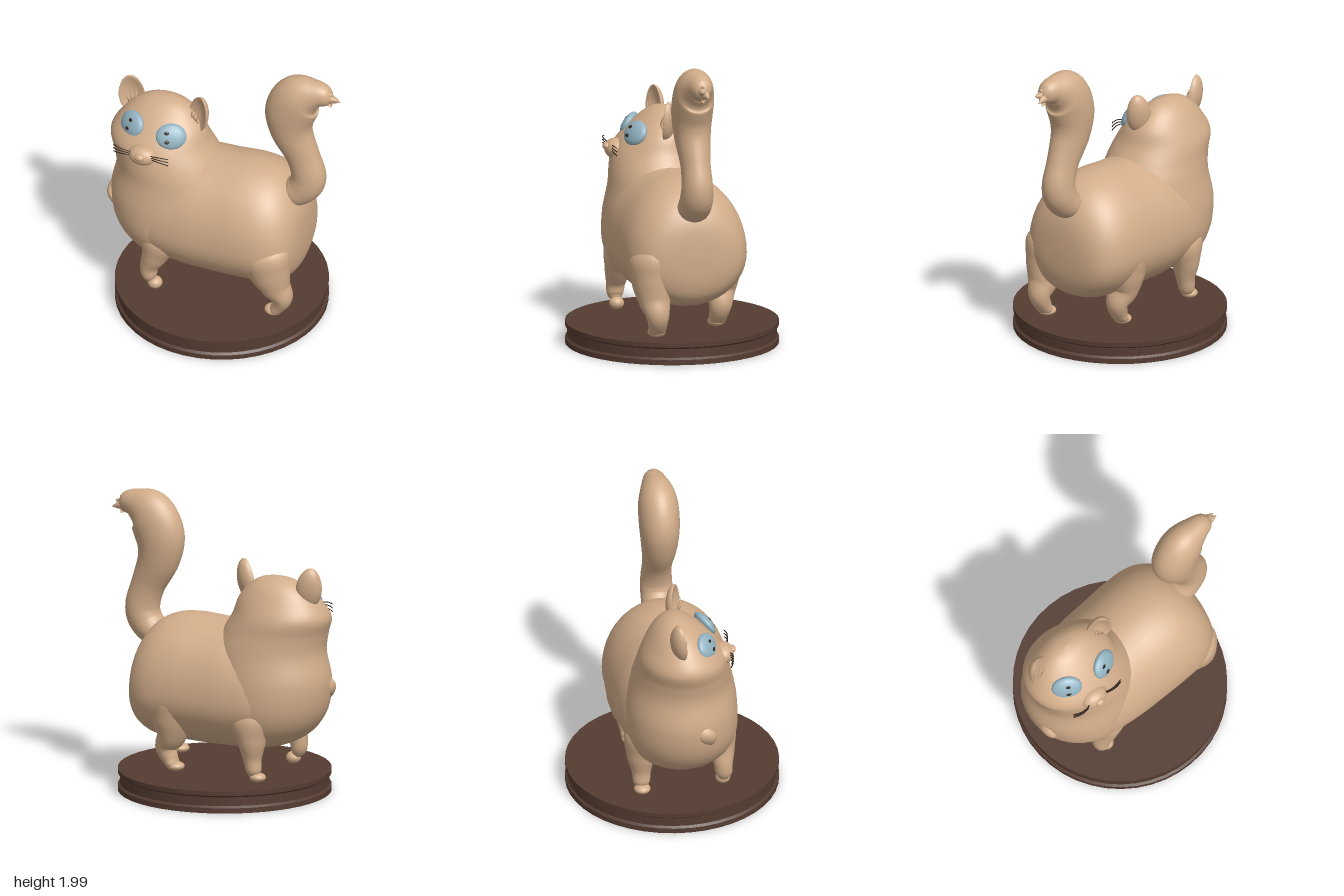
import * as THREE from 'three';
import { mergeVertices, toCreasedNormals } from 'three/addons/utils/BufferGeometryUtils.js';

const material = (name, color) => {
  const m = new THREE.MeshStandardMaterial({ color });
  m.name = name;
  return m;
};

// Smoothly interpolates rows of numbers at t in 0..1
function sampleRows(rows, t) {
  const f = t * (rows.length - 1), i = Math.min(Math.floor(f), rows.length - 2), u = f - i;
  const at = (k) => rows[Math.max(0, Math.min(rows.length - 1, k))];
  const [a, b, c, d] = [at(i - 1), at(i), at(i + 1), at(i + 2)];
  return b.map((p, k) => p + 0.5 * u * (c[k] - a[k]
    + u * (2 * a[k] - 5 * p + 4 * c[k] - d[k] + u * (3 * (p - c[k]) + d[k] - a[k]))));
}

// Closed skin through cross-sections; place(row, cos, sin, tangent) gives a point
function loft(rows, place, steps = 60, sides = 48) {
  const pos = [], index = [];
  for (let i = 0; i <= steps; i++) {
    const t = i / steps, row = sampleRows(rows, t);
    const a = sampleRows(rows, Math.max(0, t - 0.01)), b = sampleRows(rows, Math.min(1, t + 0.01));
    const tangent = new THREE.Vector2(b[0] - a[0], b[1] - a[1]).normalize();
    for (let j = 0; j < sides; j++) {
      const w = (j / sides) * Math.PI * 2;
      pos.push(...place(row, Math.cos(w), Math.sin(w), tangent));
    }
  }
  for (let i = 0; i < steps; i++) for (let j = 0; j < sides; j++) {
    const a = i * sides + j, b = i * sides + (j + 1) % sides;
    index.push(a, a + sides, b, b, a + sides, b + sides);
  }
  // Turn the faces outward if the enclosed volume is negative
  const v = (k) => new THREE.Vector3(pos[k * 3], pos[k * 3 + 1], pos[k * 3 + 2]);
  let volume = 0;
  for (let k = 0; k < index.length; k += 3) volume += v(index[k]).dot(v(index[k + 1]).cross(v(index[k + 2])));
  if (volume < 0) index.reverse();
  const geo = new THREE.BufferGeometry();
  geo.setAttribute('position', new THREE.Float32BufferAttribute(pos, 3));
  geo.setIndex(index);
  const welded = mergeVertices(geo, 1e-5);
  welded.computeVertexNormals();
  return welded;
}

// Limb rows: x, y, z, radius in the xy plane, radius along z
const limb = (rows, steps = 40, sides = 28) => loft(rows, ([x, y, z, r, rz], c, s, t) => {
  const k = Math.max(r, 0) * c;
  return [x - t.y * k, y + t.x * k, z + Math.max(rz, 0) * s];
}, steps, sides);

export function createModel() {
  const group = new THREE.Group();
  const fur = material('tan fur', 0xd2ad8a);
  const wood = material('dark brown base', 0x553c31);
  const blue = material('pale blue eye', 0x93b4c2);
  const dark = material('dark detail', 0x33241c);
  const add = (name, geo, mat, parent = group) => {
    const mesh = new THREE.Mesh(geo, mat);
    mesh.name = name;
    parent.add(mesh);
    return mesh;
  };
  const blob = (name, mat, p, s, parent) => {
    const mesh = add(name, new THREE.SphereGeometry(1, 28, 20), mat, parent);
    mesh.position.set(...p);
    mesh.scale.set(...s);
    return mesh;
  };

  // Round stand with a grooved rim
  const rim = [[0, 0], [0.715, 0], [0.715, 0.035], [0.7, 0.048], [0.7, 0.108], [0.715, 0.12], [0.715, 0.15], [0, 0.15]];
  const stand = new THREE.LatheGeometry(rim.map((p) => new THREE.Vector2(...p)), 44);
  add('stand', toCreasedNormals(stand, 0.4), wood).position.x = -0.03;

  // Trunk, lofted along x: x, top, bottom, half width
  add('trunk', loft([
    [-0.7, 0.7, 0.7, 0], [-0.62, 0.9, 0.5, 0.22], [-0.45, 1.08, 0.37, 0.36], [-0.22, 1.165, 0.325, 0.405],
    [0, 1.18, 0.32, 0.415], [0.2, 1.19, 0.325, 0.42], [0.35, 1.165, 0.33, 0.41], [0.46, 1.1, 0.36, 0.37],
    [0.535, 1.0, 0.42, 0.3], [0.573, 0.88, 0.53, 0.18], [0.584, 0.7, 0.7, 0],
  ], ([x, top, bottom, w], c, s) => {
    const mid = bottom + (top - bottom) * 0.42;
    return [x, mid + s * (s > 0 ? top - mid : mid - bottom), Math.max(w, 0) * c];
  }), fur);

  // Chest, neck and head, lofted upward: y, x range, z range
  add('chestAndHead', loft([
    [0.33, -0.3, -0.3, 0, 0], [0.36, -0.49, -0.12, -0.17, 0.17], [0.45, -0.66, -0.03, -0.3, 0.3],
    [0.6, -0.765, 0.02, -0.365, 0.37], [0.8, -0.8, 0.03, -0.37, 0.37], [1, -0.765, 0.01, -0.335, 0.335],
    [1.13, -0.78, -0.05, -0.31, 0.315], [1.25, -0.81, -0.125, -0.29, 0.28], [1.36, -0.75, -0.17, -0.24, 0.195],
    [1.45, -0.665, -0.25, -0.185, 0.1], [1.505, -0.57, -0.34, -0.12, 0.02], [1.525, -0.455, -0.455, -0.05, -0.05],
  ], ([y, x0, x1, z0, z1], c, s) => [
    (x0 + x1) / 2 + c * Math.max(0, x1 - x0) / 2, y, (z0 + z1) / 2 + s * Math.max(0, z1 - z0) / 2,
  ], 72), fur);

  // Chest tuft
  add('chestTuft', limb([[-0.75, 0.86, 0.08, 0, 0], [-0.765, 0.77, 0.1, 0.04, 0.07], [-0.73, 0.69, 0.13, 0.03, 0.04], [-0.7, 0.63, 0.14, 0, 0]]), fur);

  // Muzzle and nose
  blob('muzzle', fur, [-0.495, 1.235, 0.26], [0.1, 0.07, 0.075]);
  blob('nose', fur, [-0.495, 1.255, 0.325], [0.035, 0.025, 0.025]);

  // Tail, with ragged tip hairs
  add('tail', limb([
    [0.44, 0.99, 0, 0, 0], [0.48, 1.01, 0, 0.09, 0.1], [0.565, 1.09, 0, 0.115, 0.11], [0.592, 1.19, 0, 0.12, 0.105],
    [0.55, 1.34, 0, 0.118, 0.1], [0.47, 1.53, 0, 0.148, 0.122], [0.463, 1.69, 0, 0.175, 0.136],
    [0.535, 1.83, 0, 0.165, 0.13], [0.65, 1.885, 0, 0.1, 0.09], [0.735, 1.88, 0, 0.062, 0.055], [0.77, 1.875, 0, 0, 0],
  ], 70, 36), fur);
  for (const [x, y, z] of [[0.77, 1.925, 0.01], [0.81, 1.885, 0.02], [0.815, 1.845, -0.02], [0.76, 1.8, 0]]) {
    add('tailTipHair', limb([[0.66, 1.875, 0, 0.04, 0.04], [(0.7 + x) / 2, (1.875 + y) / 2, z / 2, 0.028, 0.028], [x, y, z, 0, 0]], 8, 10), fur);
  }

  // Legs and paws
  const leg = (name, rows, paw, size) => {
    add(name, limb(rows), fur);
    blob(name + 'Paw', fur, paw, size);
  };
  for (const [name, dx, s] of [['hindLegNear', 0, 1], ['hindLegFar', -0.22, -1]]) {
    leg(name, [
      [0.33 + dx * 0.6, 0.85, 0.18 * s, 0, 0], [0.37 + dx * 0.7, 0.7, 0.25 * s, 0.17, 0.145],
      [0.41 + dx * 0.85, 0.53, 0.265 * s, 0.15, 0.135], [0.455 + dx, 0.4, 0.258 * s, 0.105, 0.108],
      [0.502 + dx, 0.31, 0.25 * s, 0.07, 0.08], [0.475 + dx, 0.23, 0.242 * s, 0.054, 0.063],
      [0.445 + dx, 0.185, 0.24 * s, 0.035, 0.055], [0.43 + dx, 0.165, 0.24 * s, 0, 0],
    ], [0.435 + dx, 0.18, 0.238 * s], [0.062, 0.032, 0.06]);
  }
  leg('frontLegNear', [
    [-0.34, 0.72, 0.2, 0, 0], [-0.36, 0.6, 0.25, 0.15, 0.11], [-0.4, 0.44, 0.27, 0.095, 0.09],
    [-0.44, 0.33, 0.275, 0.064, 0.065], [-0.435, 0.25, 0.28, 0.05, 0.052], [-0.39, 0.19, 0.28, 0, 0],
  ], [-0.4, 0.2, 0.28], [0.05, 0.042, 0.05]);
  leg('frontLegFar', [
    [-0.34, 0.72, -0.2, 0, 0], [-0.36, 0.6, -0.25, 0.15, 0.12], [-0.38, 0.43, -0.27, 0.1, 0.1],
    [-0.385, 0.3, -0.27, 0.062, 0.066], [-0.4, 0.21, -0.27, 0.047, 0.052], [-0.42, 0.165, -0.27, 0, 0],
  ], [-0.425, 0.18, -0.27], [0.055, 0.032, 0.055]);

  // Ears: flattened ovals with a hollow front, and fine hairs inside
  for (const [name, x, z, width, yaw, roll] of [['earRight', -0.7, -0.06, 0.088, 0.35, 0.16], ['earLeft', -0.205, -0.01, 0.085, -0.5, -0.2]]) {
    const ear = new THREE.Group();
    ear.name = name;
    ear.position.set(x, 1.465, z);
    ear.rotation.set(-0.1, yaw, roll);
    group.add(ear);
    const geo = new THREE.SphereGeometry(1, 32, 24), p = geo.attributes.position;
    for (let i = 0; i < p.count; i++) {
      const px = p.getX(i), py = p.getY(i), pz = p.getZ(i);
      const depth = pz > 0 ? pz * (0.45 - 0.85 * pz) : pz;
      p.setXYZ(i, px * width * (1 - 0.12 * py), py * 0.14, depth * 0.06);
    }
    geo.computeVertexNormals();
    add(name + 'Shell', geo, fur, ear);
    for (const k of [-1, 0, 1]) {
      add(name + 'Hair', limb([[k * 0.02, -0.07, 0, 0.004, 0.004], [k * 0.025, -0.02, 0.03, 0.009, 0.006], [k * 0.04, 0.045, 0.02, 0, 0]], 8, 8), fur, ear);
    }
  }

  // Eyes with small dark marks
  for (const [name, p, n, mx] of [
    ['eyeRight', [-0.62, 1.37, 0.133], [-0.5, 0.5, 0.8], 0.006],
    ['eyeLeft', [-0.327, 1.37, 0.17], [0.35, 0.5, 0.85], -0.03],
  ]) {
    const eye = new THREE.Group();
    eye.name = name;
    eye.position.set(...p);
    eye.lookAt(new THREE.Vector3(...p).add(new THREE.Vector3(...n)));
    group.add(eye);
    blob(name + 'Ball', blue, [0, 0, 0], [0.103, 0.088, 0.04], eye);
    for (const y of [-0.034, 0.026]) blob(name + 'Mark', dark, [mx, y, 0.036], [0.017, 0.013, 0.004], eye);
  }

  // Whiskers
  for (const s of [-1, 1]) for (const k of [-1, 0, 1]) {
    const curve = new THREE.QuadraticBezierCurve3(
      new THREE.Vector3(-0.495 + s * 0.075, 1.255 + k * 0.014, 0.3),
      new THREE.Vector3(-0.495 + s * 0.13, 1.275 + k * 0.02, 0.33),
      new THREE.Vector3(-0.495 + s * 0.2, 1.255 + k * 0.026, 0.305 - (s < 0 ? 0.02 : 0)),
    );
    add('whisker', new THREE.TubeGeometry(curve, 10, 0.0035, 6), dark);
  }
  return group;
}
